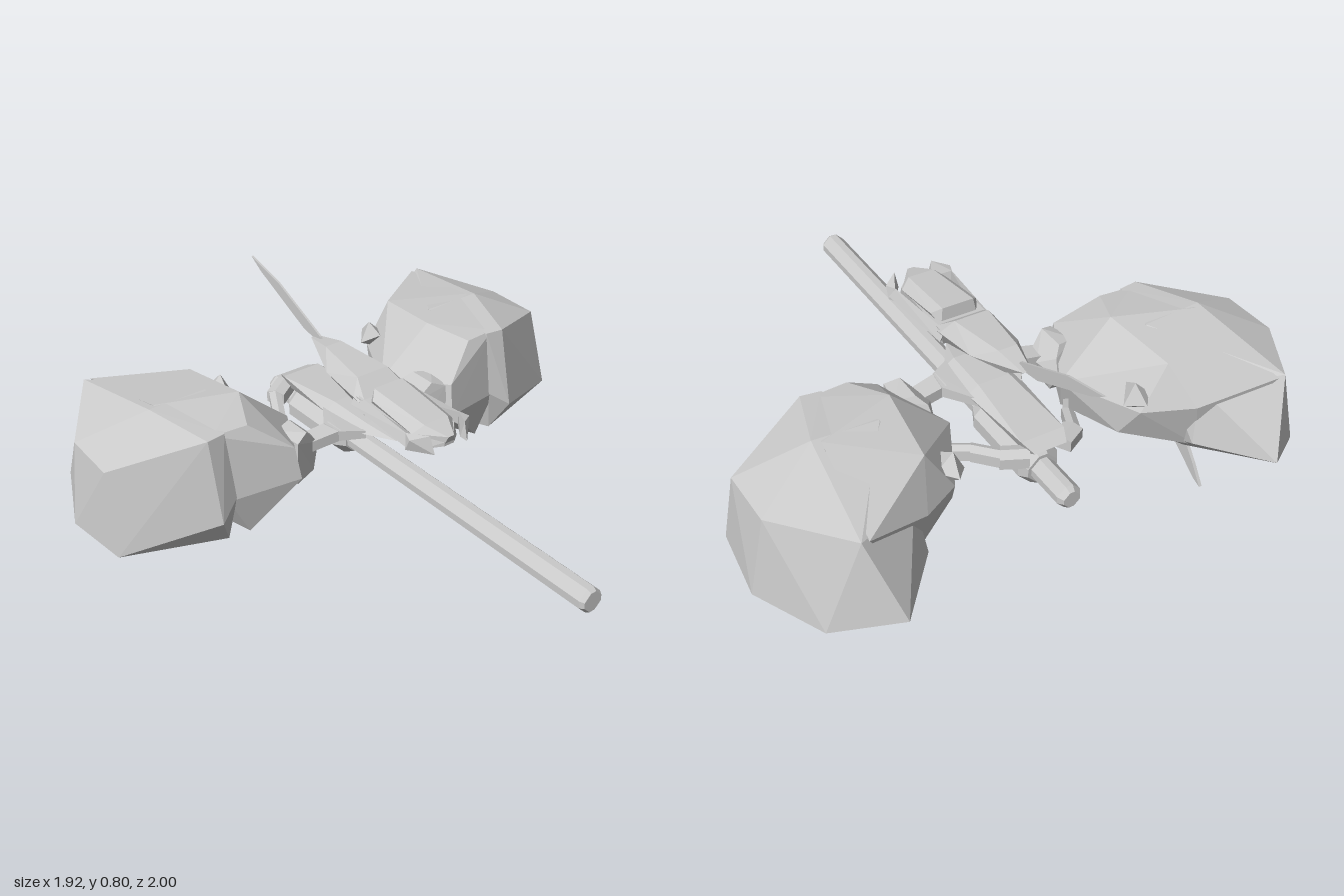
import * as THREE from 'three';
import { ConvexGeometry } from 'three/addons/geometries/ConvexGeometry.js';

const grey = new THREE.MeshStandardMaterial({ color: 0xcacaca });
grey.name = 'hull grey';
grey.flatShading = true;

export function createModel() {
  const model = new THREE.Group();
  model.name = 'gunship';

  const add = (geometry, name) => {
    const mesh = new THREE.Mesh(geometry, grey);
    mesh.name = name;
    model.add(mesh);
    return mesh;
  };
  // Faceted solid through corner points; s = -1 mirrors it across z
  const hull = (name, pts, s = 1) =>
    add(new ConvexGeometry(pts.map(([x, y, z]) => new THREE.Vector3(x, y, z * s))), name);
  // Solid whose corners are given for one half only
  const symmetric = (name, pts) =>
    hull(name, pts.flatMap(([x, y, z]) => (z ? [[x, y, z], [x, y, -z]] : [[x, y, z]])));
  // Thin blade in the xy plane
  const blade = (name, pts, z, t) => {
    const shape = new THREE.Shape(pts.map(([x, y]) => new THREE.Vector2(x, y)));
    const mesh = add(new THREE.ExtrudeGeometry(shape, { depth: t, bevelEnabled: false }), name);
    mesh.position.z = z - t / 2;
  };
  // Bar along x with chamfered square section, sections given as [x, radius]
  const bar = (name, sections) =>
    hull(name, sections.flatMap(([x, r]) => {
      const c = r * 0.3;
      return [[r, c], [c, r], [-c, r], [-r, c], [-r, -c], [-c, -r], [c, -r], [r, -c]]
        .map(([z, y]) => [x, 0.305 + y, z]);
    }));

  // Long gun with a thicker breech block
  bar('gunBarrel', [[-0.78, 0.03], [-0.76, 0.043], [0.945, 0.045], [0.96, 0.036]]);
  bar('gunBreech', [[-0.61, 0.055], [-0.58, 0.075], [-0.3, 0.075], [-0.25, 0.05]]);

  // Upper fuselage
  symmetric('upperFuselage', [
    [-0.5, 0.625, 0.015], [-0.38, 0.643, 0.035], [-0.15, 0.628, 0.065],
    [-0.3, 0.59, 0.09], [-0.12, 0.575, 0.105], [-0.05, 0.555, 0.1],
    [-0.42, 0.58, 0.03], [-0.1, 0.51, 0.07], [-0.05, 0.535, 0.06]
  ]);
  symmetric('noseFloor', [
    [-0.12, 0.58, 0.1], [-0.1, 0.507, 0.08], [0.22, 0.52, 0.075],
    [0.27, 0.535, 0.02], [0.2, 0.56, 0.08], [0.27, 0.55, 0.02]
  ]);
  symmetric('canopy', [
    [-0.06, 0.622, 0.06], [-0.03, 0.595, 0.09], [-0.07, 0.56, 0.07],
    [0.2, 0.595, 0.05], [0.18, 0.565, 0.088], [0.28, 0.572, 0.012], [0.27, 0.545, 0.02]
  ]);
  blade('tailFin', [[-0.9, 0.805], [-0.84, 0.765], [-0.56, 0.632], [-0.44, 0.61], [-0.46, 0.64], [-0.72, 0.758]], 0, 0.008);

  // Lower hull carrying the spar
  symmetric('lowerHull', [
    [-0.65, 0.42, 0.06], [-0.6, 0.44, 0.08], [-0.6, 0.39, 0.06],
    [-0.3, 0.46, 0.06], [-0.12, 0.45, 0.05], [-0.3, 0.43, 0.1], [-0.12, 0.425, 0.09],
    [-0.3, 0.385, 0.05], [0, 0.42, 0.012]
  ]);

  for (const s of [1, -1]) {
    // Prongs beside the canopy
    hull('noseProng', [
      [-0.13, 0.585, 0.09], [-0.13, 0.545, 0.11], [-0.1, 0.525, 0.085],
      [0.2, 0.58, 0.115], [0.2, 0.54, 0.13], [0.2, 0.53, 0.115]
    ], s);
    hull('prongTip', [
      [0.18, 0.58, 0.115], [0.2, 0.53, 0.132], [0.18, 0.525, 0.115],
      [0.26, 0.59, 0.075], [0.28, 0.525, 0.07], [0.25, 0.53, 0.065], [0.22, 0.575, 0.13]
    ], s);

    // Spar out to the pod joint
    hull('sparRoot', [
      [-0.36, 0.435, 0.07], [-0.1, 0.435, 0.07], [-0.36, 0.405, 0.07], [-0.1, 0.405, 0.07],
      [-0.23, 0.44, 0.16], [-0.15, 0.44, 0.15], [-0.23, 0.4, 0.16], [-0.15, 0.4, 0.15]
    ], s);
    hull('sparEnd', [
      [-0.23, 0.44, 0.14], [-0.15, 0.44, 0.14], [-0.23, 0.4, 0.14], [-0.15, 0.4, 0.14],
      [-0.24, 0.425, 0.26], [-0.17, 0.425, 0.26], [-0.24, 0.385, 0.26], [-0.17, 0.385, 0.26]
    ], s);
    hull('podJoint', [
      [-0.33, 0.39, 0.24], [-0.3, 0.45, 0.25], [-0.24, 0.41, 0.21], [-0.18, 0.41, 0.22],
      [-0.16, 0.48, 0.28], [-0.27, 0.48, 0.28], [-0.14, 0.46, 0.33], [-0.14, 0.3, 0.34],
      [-0.17, 0.31, 0.25], [-0.27, 0.3, 0.25], [-0.31, 0.33, 0.3], [-0.25, 0.47, 0.35]
    ], s);

    // Bent rear strut in three links
    const path = [[-0.62, 0.41, 0.06], [-0.57, 0.4, 0.14], [-0.47, 0.37, 0.19], [-0.4, 0.34, 0.24]];
    for (let i = 0; i < 3; i++) {
      const w = [0.03, 0.022, 0.018][i];
      hull('rearStrut', [path[i], path[i + 1]].flatMap(([x, y, z]) => [
        [x - w, y, z + w * 0.6], [x + w, y, z - w * 0.6],
        [x - w, y - 0.04, z + w * 0.6], [x + w, y - 0.04, z - w * 0.6], [x, y + 0.012, z]
      ]), s);
    }

    // Armoured pod: outer shell and inner half meeting at a shallow notch
    hull('podOuterShell', [
      [-0.965, 0.3, 0.68], [-0.82, 0.22, 0.88], [-0.55, 0.195, 1.0], [-0.28, 0.195, 0.975], [-0.13, 0.27, 0.65],
      [-0.85, 0.555, 0.765], [-0.57, 0.498, 0.95], [-0.35, 0.49, 0.955], [-0.19, 0.57, 0.65],
      [-0.44, 0.605, 0.725], [-0.45, 0.6, 0.5], [-0.2, 0.57, 0.58], [-0.165, 0.33, 0.57],
      [-0.45, 0.117, 0.55], [-0.19, 0.158, 0.6], [-0.6, 0.14, 0.6], [-0.72, 0.5, 0.53], [-0.75, 0.3, 0.5]
    ], s);
    hull('podInnerShell', [
      [-0.85, 0.55, 0.74], [-0.46, 0.604, 0.7], [-0.36, 0.603, 0.42], [-0.2, 0.57, 0.49], [-0.21, 0.57, 0.62],
      [-0.64, 0.58, 0.45], [-0.75, 0.45, 0.5], [-0.65, 0.42, 0.35], [-0.38, 0.42, 0.215],
      [-0.13, 0.46, 0.35], [-0.11, 0.34, 0.34], [-0.17, 0.32, 0.6], [-0.34, 0.28, 0.25], [-0.58, 0.3, 0.32],
      [-0.18, 0.16, 0.52], [-0.45, 0.115, 0.54], [-0.72, 0.25, 0.55]
    ], s);

    // Small stud on the inner rear of the pod and blade beneath it
    hull('podStud', [
      [-0.68, 0.47, 0.35], [-0.62, 0.47, 0.4], [-0.56, 0.49, 0.35], [-0.62, 0.45, 0.3],
      [-0.62, 0.53, 0.34], [-0.62, 0.42, 0.36]
    ], s);
    blade('podLowerFin', [[-0.69, 0.002], [-0.655, 0.015], [-0.5, 0.125], [-0.5, 0.17], [-0.58, 0.17], [-0.6, 0.125], [-0.64, 0.075]], s * 0.625, 0.012);
  }
  return model;
}
